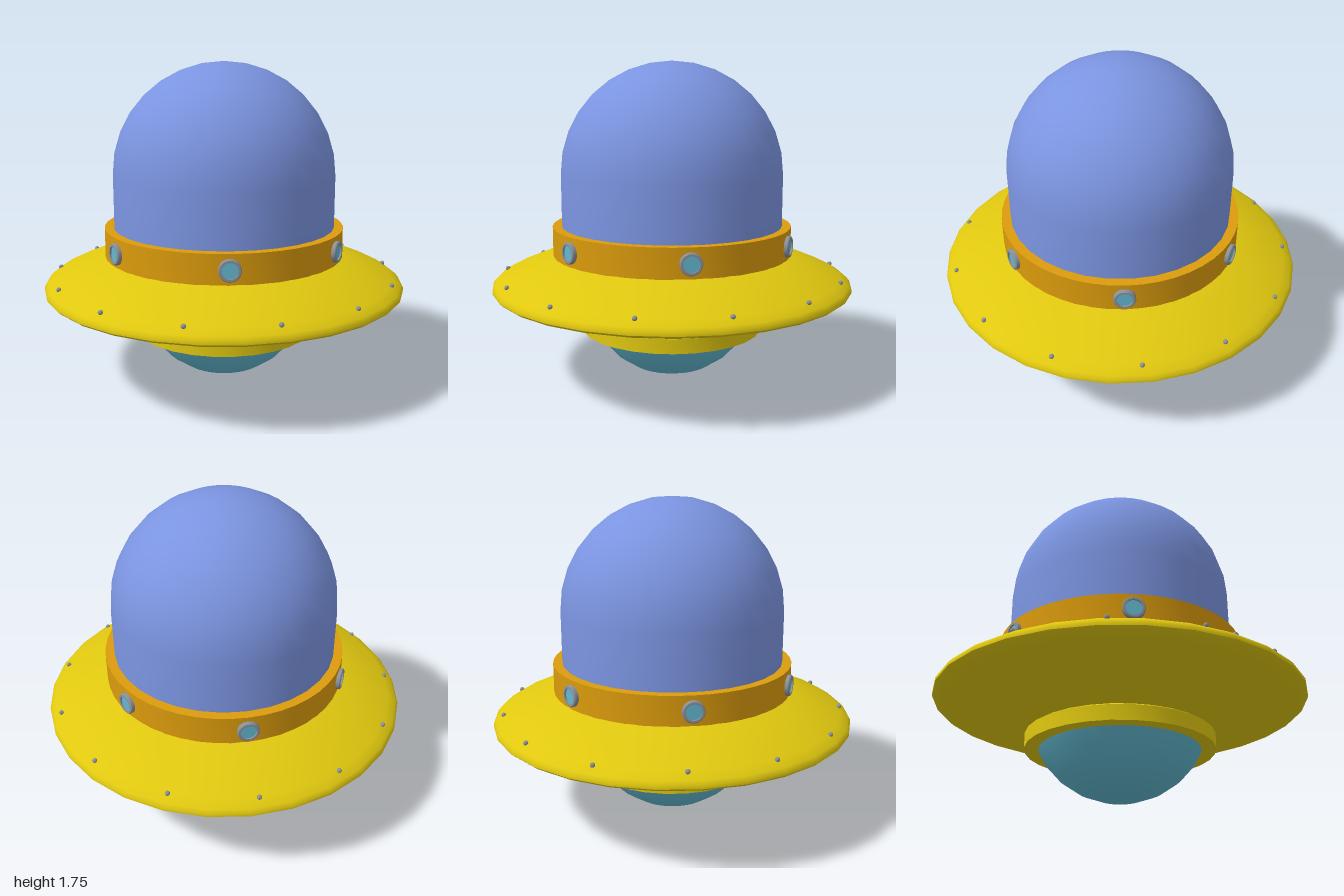
import * as THREE from 'three';
import { toCreasedNormals } from 'three/addons/utils/BufferGeometryUtils.js';

const material = (name, color) => {
  const m = new THREE.MeshStandardMaterial({ color });
  m.name = name;
  return m;
};

// Revolved part from [radius, y] points listed bottom to top
const turned = (points, segments, crease = 0.6) => toCreasedNormals(
  new THREE.LatheGeometry(points.map(([r, y]) => new THREE.Vector2(r, y)), segments, Math.PI / 2), crease);

// Points along an arc about the axis, from angle a to angle b
const arc = (radius, centreY, a, b, steps) => Array.from({ length: steps + 1 }, (_, i) => {
  const t = a + (b - a) * i / steps;
  return [Math.max(0, radius * Math.cos(t)), centreY + radius * Math.sin(t)];
});

export function createModel() {
  const model = new THREE.Group();
  model.name = 'flyingSaucer';
  const blue = material('domeBlue', 0x7b94e0);
  const yellow = material('hullYellow', 0xe0c80f);
  const orange = material('bandOrange', 0xdb9b0c);
  const teal = material('glassTeal', 0x62b8d0);
  const grey = material('metalGrey', 0x8c9199);

  const add = (name, geometry, mat, parent = model) => {
    const mesh = new THREE.Mesh(geometry, mat);
    mesh.name = name;
    parent.add(mesh);
    return mesh;
  };

  // Saucer hull with the short neck underneath
  add('hull', turned([
    [0, 0.27], [0.507, 0.27], [0.507, 0.35], [0.49, 0.36], [0.75, 0.437], [0.93, 0.493],
    [0.985, 0.512], [1, 0.525], [1, 0.542], [0.985, 0.56], [0.94, 0.589], [0.66, 0.705], [0.55, 0.72],
  ], 29, 0.8), yellow);

  // Band around the dome
  add('band', turned([[0.59, 0.70], [0.663, 0.70], [0.663, 0.862], [0.59, 0.862]], 48), orange);

  // Tall upper dome and shallow lower dome
  add('upperDome', turned([[0.613, 0.75], ...arc(0.613, 1.147, 0, Math.PI / 2, 8)], 32), blue);
  add('lowerDome', turned(arc(0.49, 0.495, -Math.PI / 2, -0.38, 5), 32), teal);

  // Six portholes on the band
  const frame = turned([[0.058, 0], [0.058, 0.038], [0.053, 0.043], [0.042, 0.043], [0.042, 0]], 24);
  frame.rotateX(Math.PI / 2);
  const pane = new THREE.CircleGeometry(0.043, 24);
  for (let i = 0; i < 6; i++) {
    const porthole = new THREE.Group();
    porthole.name = 'porthole';
    porthole.rotation.y = i * Math.PI / 3;
    add('portholeFrame', frame, grey, porthole).position.set(0, 0.78, 0.64);
    add('portholeGlass', pane, teal, porthole).position.set(0, 0.78, 0.674);
    model.add(porthole);
  }

  // Thirteen rivets near the rim, starting at the back
  const rivet = new THREE.SphereGeometry(0.013, 10, 8);
  for (let i = 0; i < 13; i++) {
    const a = i * Math.PI * 2 / 13;
    add('rivet', rivet, grey).position.set(0.943 * Math.sin(a), 0.59, -0.943 * Math.cos(a));
  }
  return model;
}
